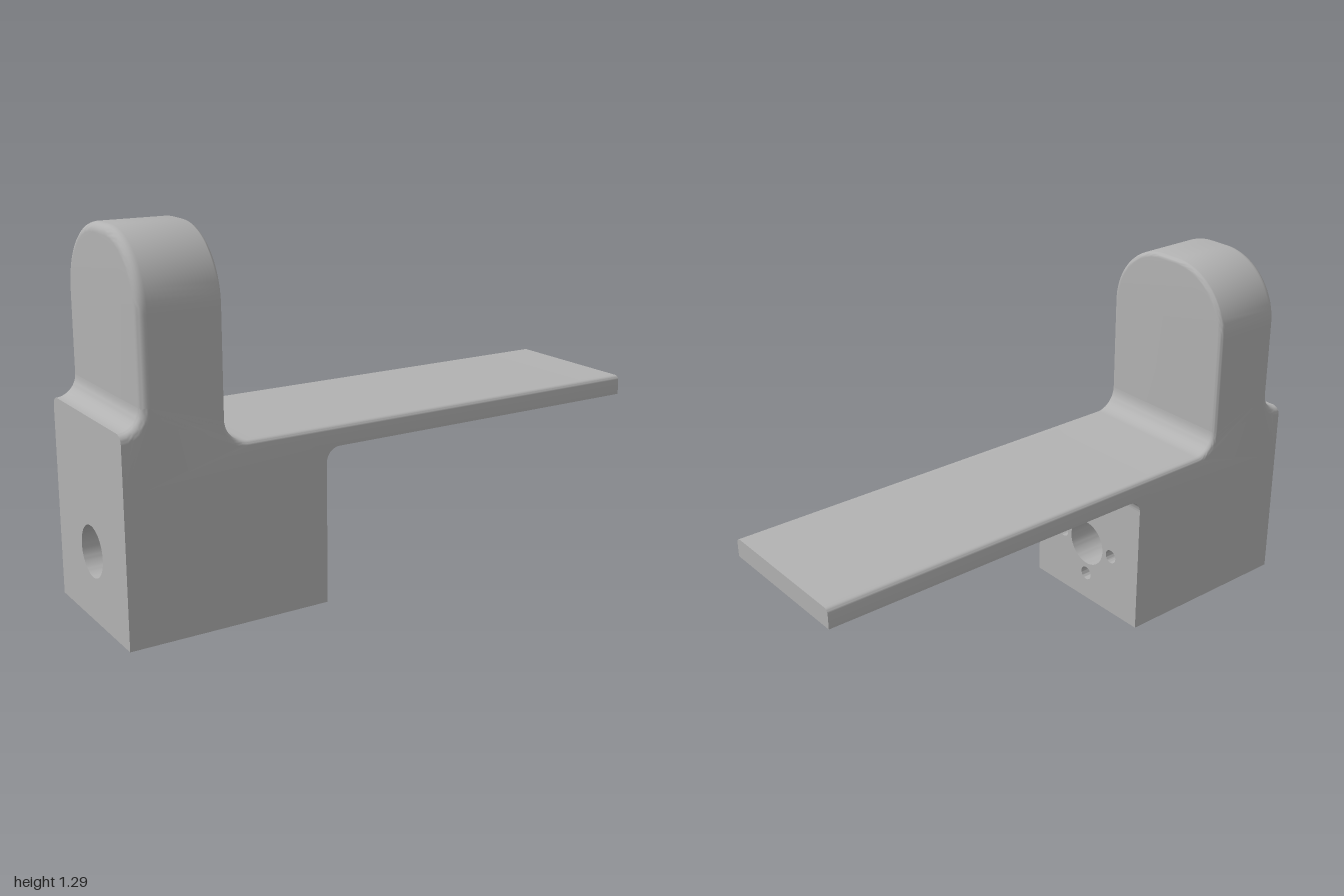
import * as THREE from 'three';
import { toCreasedNormals } from 'three/addons/utils/BufferGeometryUtils.js';

const W = 0.277;                 // half width in z
const BACK_R = 0.03, FRONT_R = 0.018; // edge rounding on the two tower faces

const arc = (cx, cy, r, a0, a1, n = 12) => Array.from({ length: n + 1 }, (_, i) => {
  const a = a0 + (a1 - a0) * i / n;
  return new THREE.Vector2(cx + r * Math.cos(a), cy + r * Math.sin(a));
});

// Joins counter-clockwise outlines at rising z, closing both ends
function loft(slices) {
  const n = slices[0].pts.length, pos = [], idx = [];
  for (const s of slices) for (const p of s.pts) pos.push(p.x, p.y, s.z);
  for (let i = 0; i < slices.length - 1; i++) {
    for (let j = 0; j < n; j++) {
      const a = i * n + j, b = i * n + (j + 1) % n;
      idx.push(a, b, b + n, a, b + n, a + n);
    }
  }
  const last = slices.length - 1;
  for (const [a, b, c] of THREE.ShapeUtils.triangulateShape(slices[0].pts.slice(), [])) idx.push(c, b, a);
  for (const [a, b, c] of THREE.ShapeUtils.triangulateShape(slices[last].pts.slice(), [])) {
    idx.push(last * n + a, last * n + b, last * n + c);
  }
  const g = new THREE.BufferGeometry();
  g.setAttribute('position', new THREE.Float32BufferAttribute(pos, 3));
  g.setIndex(idx);
  return toCreasedNormals(g, 0.6);
}

// How far a rounded edge of radius r has fallen at distance d from the side
const drop = (r, d) => d >= r ? 0 : r - Math.sqrt(r * r - (r - d) ** 2);

// Side profile of the plate, ledge and fillets
function bodyProfile(d) {
  const f = drop(FRONT_R, d), b = drop(BACK_R, d), P = Math.PI;
  return [
    new THREE.Vector2(-1, 0.49),
    ...arc(-0.235, 0.49, 0.05, P, P / 2),
    new THREE.Vector2(1, 0.54),
    new THREE.Vector2(1, 0.61 - f),
    ...arc(-0.57, 0.69, 0.08 + f, 1.5 * P, P),
    ...arc(-1, 0.765, 0.07 + b, 0, -P / 2),
  ];
}

function bodyGeometry() {
  const steps = [0, 0.0006, 0.0025, 0.006, 0.011, FRONT_R, 0.024, BACK_R];
  const slices = steps.map(d => ({ z: -W + d, pts: bodyProfile(d) }));
  return loft([...slices, ...steps.slice().reverse().map(d => ({ z: W - d, pts: bodyProfile(d) }))]);
}

// Arched outline of the upright, shrunk by e
function archOutline(e) {
  const R = 0.24, c = W - R, w = W - e;
  return [
    new THREE.Vector2(-w, 0.69), new THREE.Vector2(w, 0.69),
    ...arc(c, 1.05, R - e, 0, Math.PI / 2, 20),
    ...arc(-c, 1.05, R - e, Math.PI / 2, Math.PI, 20),
  ];
}

function towerGeometry() {
  const slices = [], N = 6;
  for (let i = 0; i <= N; i++) {
    const a = i / N * Math.PI / 2;
    slices.push({ z: -0.93 + BACK_R * (1 - Math.cos(a)), pts: archOutline(BACK_R * (1 - Math.sin(a))) });
  }
  for (let i = N; i >= 0; i--) {
    const a = i / N * Math.PI / 2;
    slices.push({ z: -0.65 - FRONT_R * (1 - Math.cos(a)), pts: archOutline(FRONT_R * (1 - Math.sin(a))) });
  }
  return loft(slices).rotateY(Math.PI / 2);
}

// Slab of the block between two x positions, pierced by round holes
function blockGeometry(x0, x1, holes) {
  const s = new THREE.Shape([[-W, 0], [W, 0], [W, 0.49], [-W, 0.49]].map(p => new THREE.Vector2(...p)));
  for (const [z, y, r] of holes) s.holes.push(new THREE.Path().absarc(z, y, r, 0, Math.PI * 2, true));
  const g = new THREE.ExtrudeGeometry(s, { depth: x1 - x0, bevelEnabled: false, curveSegments: 32 });
  return toCreasedNormals(g.translate(0, 0, x0).rotateY(Math.PI / 2), 0.6);
}

export function createModel() {
  const group = new THREE.Group();
  const grey = new THREE.MeshStandardMaterial({ color: 0xb2b2b2 });
  grey.name = 'grey';
  const add = (name, geometry) => {
    const m = new THREE.Mesh(geometry, grey);
    m.name = name;
    group.add(m);
  };

  // Block with a through bore and four blind screw holes around it
  const y = 0.24, k = 0.133, r = 0.026, bore = [0, y, 0.088];
  const screws = [[k, y, r], [-k, y, r], [0, y + k, r], [0, y - k, r]];
  add('blockRear', blockGeometry(-1, -0.42, [bore]));
  add('blockFace', blockGeometry(-0.42, -0.285, [bore, ...screws]));

  add('plateAndShoulder', bodyGeometry());
  add('archedUpright', towerGeometry());
  return group;
}
